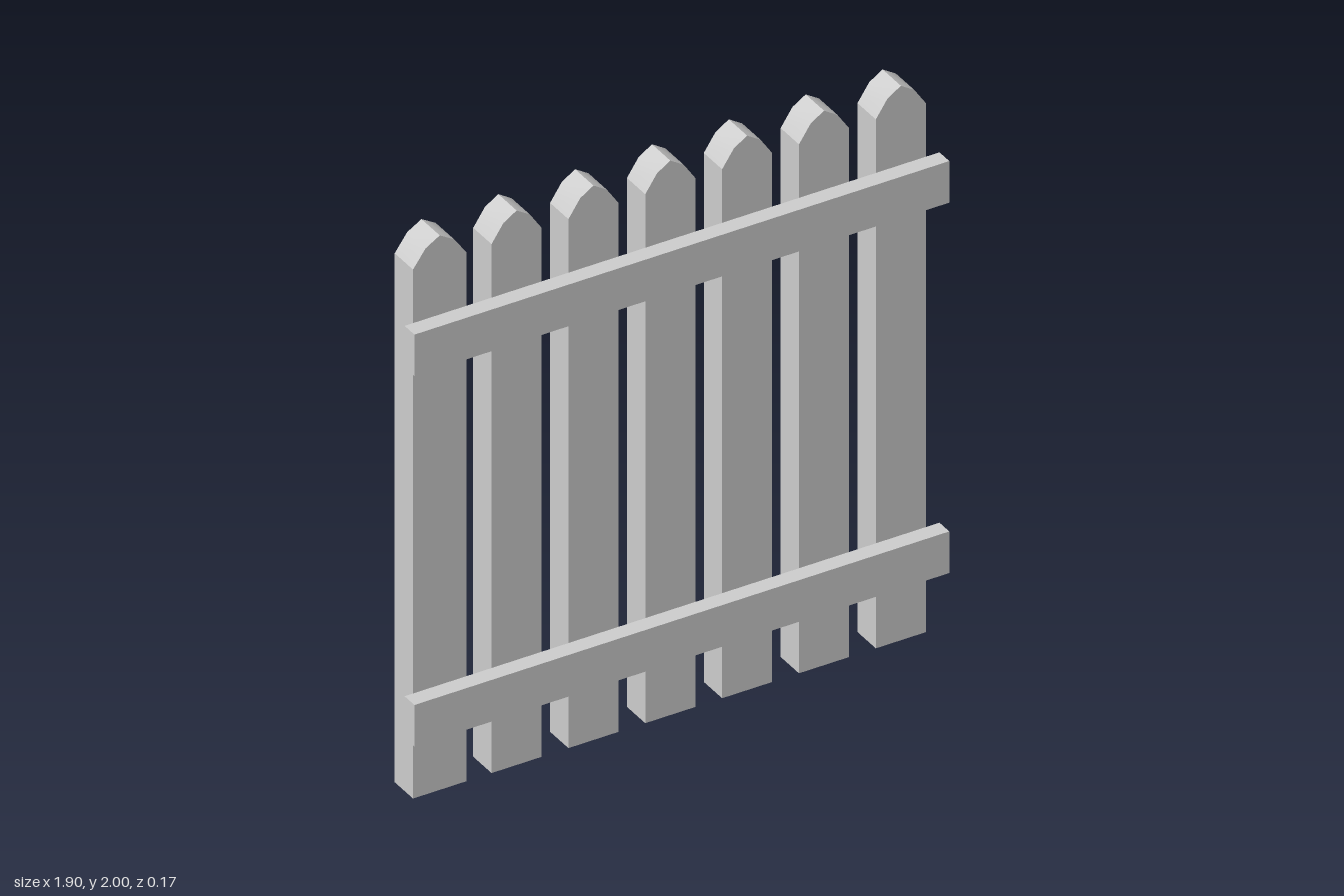
import * as THREE from 'three';
import { toCreasedNormals } from 'three/addons/utils/BufferGeometryUtils.js';

const material = new THREE.MeshStandardMaterial({ color: 0xcccccc });
const BACK = -0.083, JOINT = 0.025, FRONT = 0.083;

// Upright board with a faceted pointed top, softly rounded on each half
function createPicket(width) {
  const w = width / 2;
  const shape = new THREE.Shape([
    [-w, 0], [w, 0], [w, 1.908], [w * 0.53, 1.97],
    [0, 2], [-w * 0.53, 1.97], [-w, 1.908],
  ].map(([x, y]) => new THREE.Vector2(x, y)));
  const geometry = new THREE.ExtrudeGeometry(shape, { depth: JOINT - BACK, bevelEnabled: false });
  return new THREE.Mesh(toCreasedNormals(geometry, 0.5), material);
}

export function createModel() {
  const fence = new THREE.Group();
  fence.name = 'picketFence';

  // Seven pickets, the first slightly wider
  for (let i = 0; i < 7; i++) {
    const picket = createPicket(i === 0 ? 0.19 : 0.178);
    picket.name = `picket${i + 1}`;
    picket.position.set(i === 0 ? -0.825 : -0.552 + (i - 1) * 0.273, 0, BACK);
    fence.add(picket);
  }

  // Two horizontal rails across the front
  for (const [name, y] of [['lowerRail', 0.304], ['upperRail', 1.64]]) {
    const rail = new THREE.Mesh(new THREE.BoxGeometry(1.9, 0.15, FRONT - JOINT), material);
    rail.name = name;
    rail.position.set(0, y, (JOINT + FRONT) / 2);
    fence.add(rail);
  }
  return fence;
}
